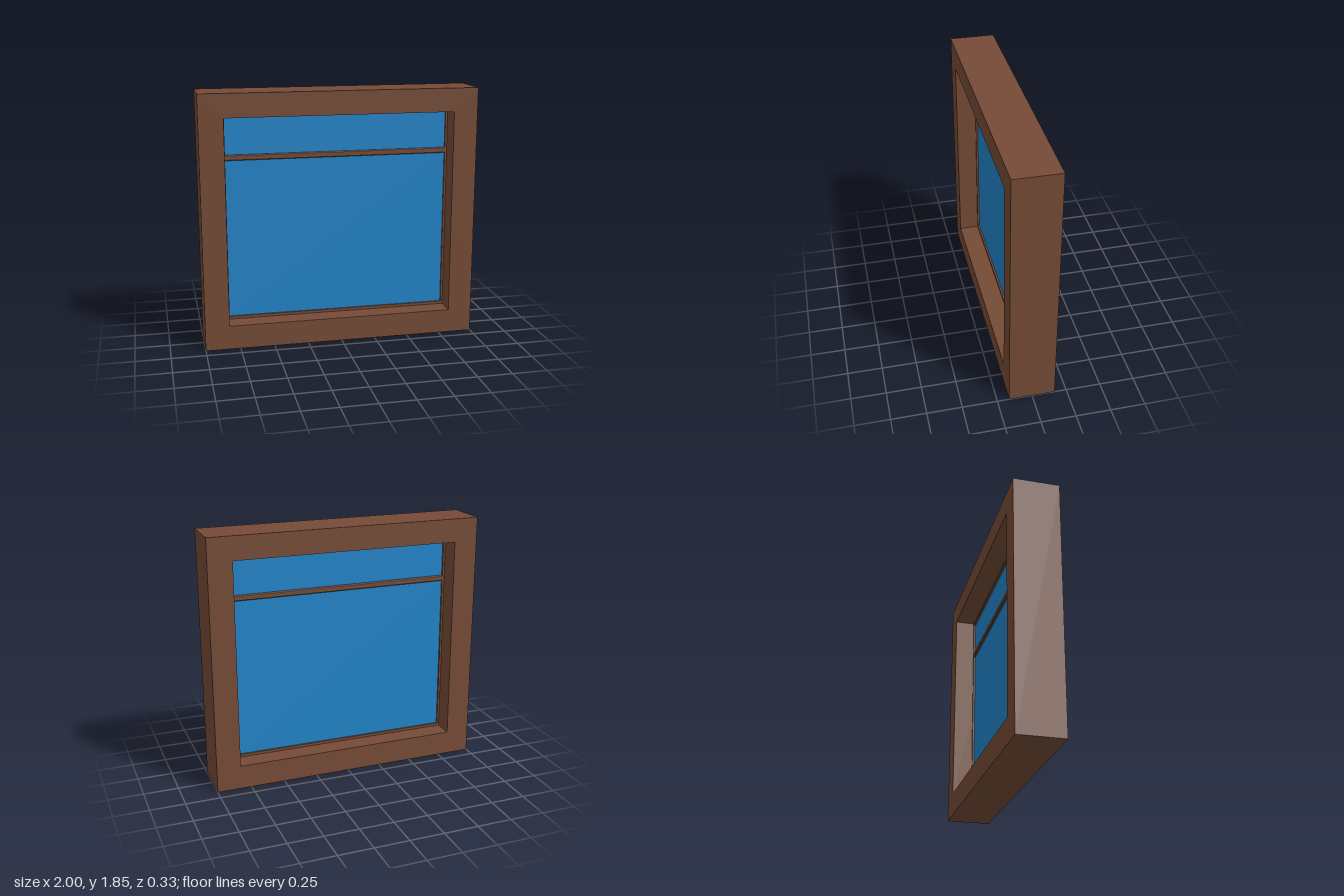
import * as THREE from 'three';

const wood = new THREE.MeshStandardMaterial({ color: 0x754b36 });
wood.name = 'brown wood';
const blue = new THREE.MeshStandardMaterial({ color: 0x2284c9 });
blue.name = 'blue glass';

// Rectangle path from corner coordinates
function rect(PathType, x, y0, y1) {
  const p = new PathType();
  p.moveTo(-x, y0);
  p.lineTo(x, y0);
  p.lineTo(x, y1);
  p.lineTo(-x, y1);
  p.closePath();
  return p;
}

// Rectangular ring centred on z = 0
function ring(name, outer, inner, depth) {
  const shape = rect(THREE.Shape, ...outer);
  shape.holes.push(rect(THREE.Path, ...inner));
  const geo = new THREE.ExtrudeGeometry(shape, { depth, bevelEnabled: false });
  geo.translate(0, 0, -depth / 2);
  const mesh = new THREE.Mesh(geo, wood);
  mesh.name = name;
  return mesh;
}

export function createModel() {
  const group = new THREE.Group();
  group.name = 'window';

  // Deep outer frame and the slim sash set into it
  group.add(ring('outerFrame', [1, 0, 1.845], [0.825, 0.175, 1.675], 0.33));
  group.add(ring('sash', [0.825, 0.175, 1.675], [0.81, 0.195, 1.655], 0.036));

  // Horizontal glazing bar with chamfered edges
  const h = 0.02, d = 0.02, c = 0.005;
  const profile = new THREE.Shape([
    [d, -h + c], [d, h - c], [d - c, h], [-d + c, h],
    [-d, h - c], [-d, -h + c], [-d + c, -h], [d - c, -h],
  ].map(([x, y]) => new THREE.Vector2(x, y)));
  const barGeo = new THREE.ExtrudeGeometry(profile, { depth: 1.62, bevelEnabled: false });
  barGeo.translate(0, 0, -0.81).rotateY(Math.PI / 2);
  const bar = new THREE.Mesh(barGeo, wood);
  bar.name = 'glazingBar';
  bar.position.y = 1.374;
  group.add(bar);

  // Glass panes above and below the bar
  for (const [name, y0, y1] of [['lowerPane', 0.195, 1.36], ['upperPane', 1.388, 1.655]]) {
    const pane = new THREE.Mesh(new THREE.BoxGeometry(1.62, y1 - y0, 0.008), blue);
    pane.name = name;
    pane.position.y = (y0 + y1) / 2;
    group.add(pane);
  }
  return group;
}
